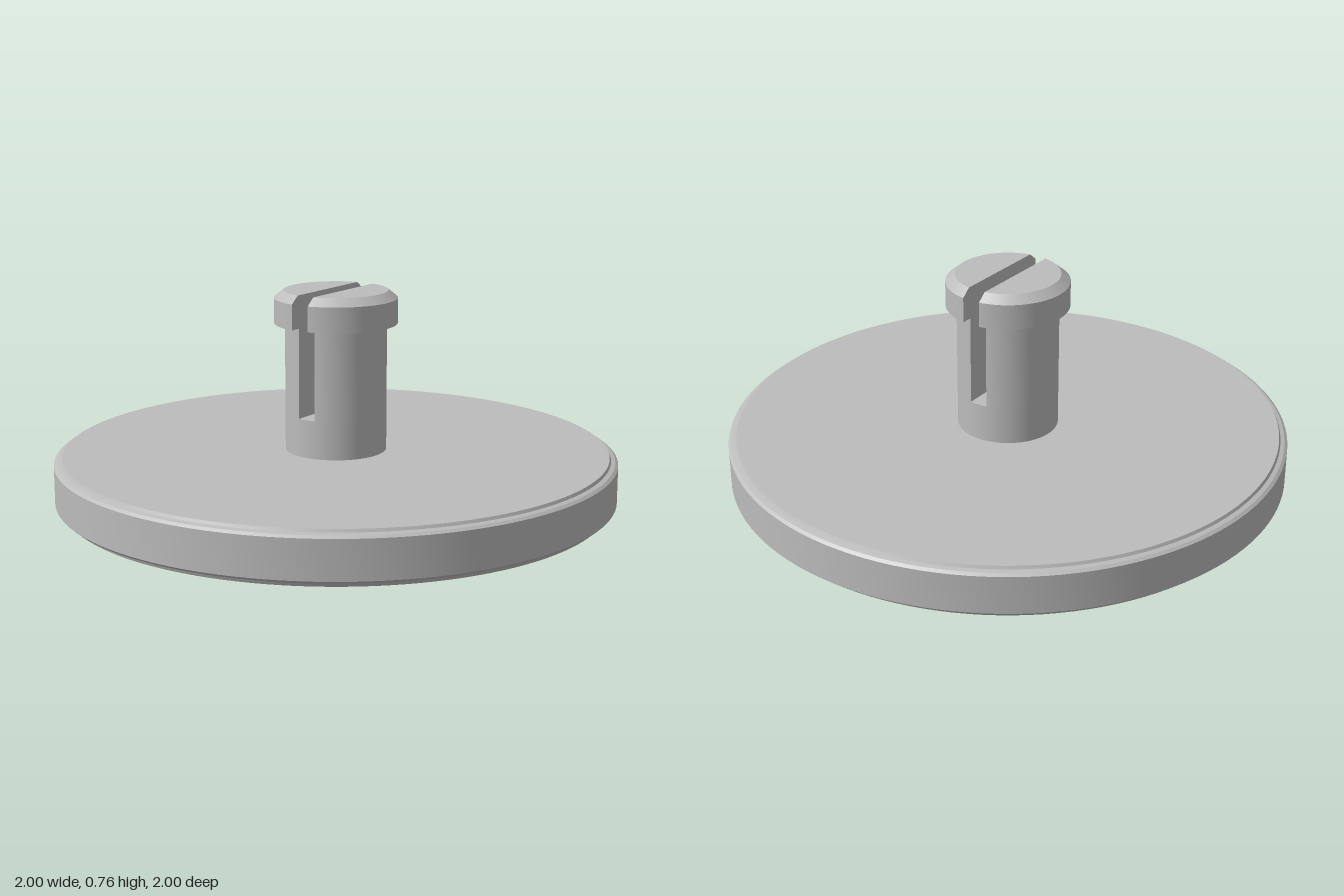
import * as THREE from 'three';
import { toCreasedNormals } from 'three/addons/utils/BufferGeometryUtils.js';

const CREASE = 0.3;
const SLOT = 0.033; // half width of the slot

// Half of a round post, cut flat at x = SLOT; rings are [radius, y] from bottom to top
function slottedHalf(rings, segments = 48) {
  const outlines = rings.map(([r, y]) => {
    const a = Math.acos(SLOT / r);
    return Array.from({ length: segments + 1 }, (_, i) => {
      const t = -a + (2 * a * i) / segments;
      return [r * Math.cos(t), y, r * Math.sin(t)];
    });
  });
  const n = segments + 1;
  const pos = [];
  const tri = (...corners) => corners.forEach((c) => pos.push(...c));
  for (let k = 0; k + 1 < outlines.length; k++) {
    const low = outlines[k], high = outlines[k + 1];
    const level = rings[k][1] === rings[k + 1][1];
    // the last step closes the outline with the flat slot wall
    for (let i = 0; i < (level ? n - 1 : n); i++) {
      const j = (i + 1) % n;
      tri(low[i], high[i], high[j]);
      tri(low[i], high[j], low[j]);
    }
  }
  const top = outlines[outlines.length - 1];
  for (let i = 1; i + 1 < n; i++) tri(top[0], top[i + 1], top[i]);
  const geometry = new THREE.BufferGeometry();
  geometry.setAttribute('position', new THREE.Float32BufferAttribute(pos, 3));
  geometry.computeVertexNormals();
  return toCreasedNormals(geometry, CREASE);
}

export function createModel() {
  const model = new THREE.Group();
  const grey = new THREE.MeshStandardMaterial({ color: 0xbcbcbc });
  grey.name = 'grey';
  const add = (name, geometry) => {
    const mesh = new THREE.Mesh(geometry, grey);
    mesh.name = name;
    model.add(mesh);
    return mesh;
  };

  // Wide disc with stepped, bevelled rims
  const profile = [
    [0, 0], [0.97, 0], [0.975, 0.012], [0.99, 0.017], [1, 0.026],
    [1, 0.162], [0.99, 0.17], [0.975, 0.174], [0.97, 0.184], [0, 0.184],
  ].map(([r, y]) => new THREE.Vector2(r, y));
  add('disc', toCreasedNormals(new THREE.LatheGeometry(profile, 128), CREASE));

  // Solid foot of the post; its top is the slot floor
  const foot = new THREE.CylinderGeometry(0.18, 0.18, 0.15, 96);
  add('postFoot', foot).position.y = 0.245;

  // Two prongs with a chamfered collar head, either side of the slot
  const prong = slottedHalf([
    [0.18, 0.32], [0.18, 0.64], [0.218, 0.64], [0.218, 0.73], [0.185, 0.757],
  ]);
  add('leftProng', prong);
  add('rightProng', prong).rotation.y = Math.PI;

  return model;
}
